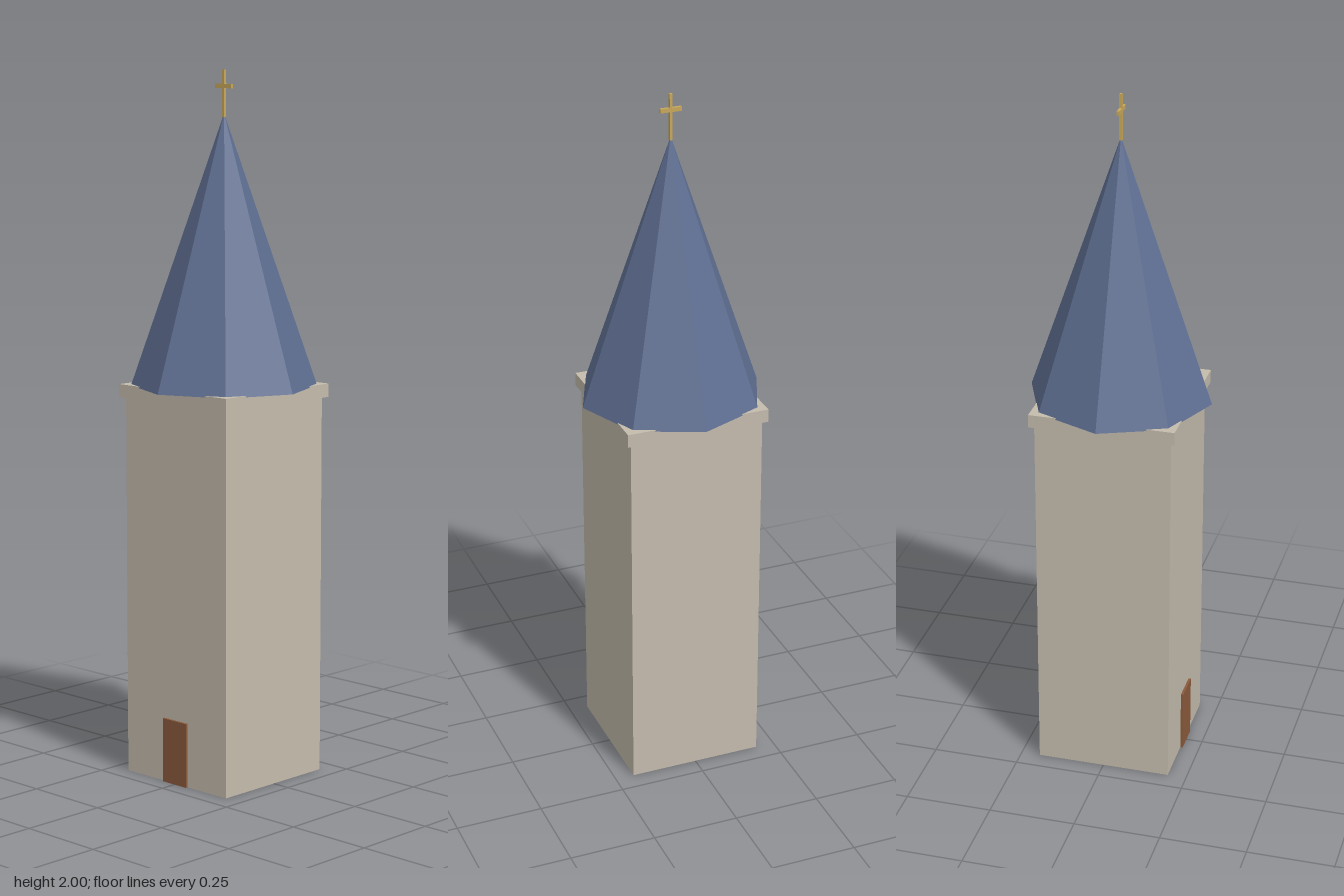
import * as THREE from 'three';

export function createModel() {
  const model = new THREE.Group();
  model.name = 'churchTower';

  const material = (color) => {
    const m = new THREE.MeshStandardMaterial({ flatShading: true });
    m.color.set(color);
    return m;
  };
  const stone = material(0xc4bbac);
  const slate = material(0x5f6f92);
  const wood = material(0x8b5a3c);
  const gold = material(0xc9a85a);

  const add = (name, geometry, mat, y, z = 0, parent = model) => {
    const mesh = new THREE.Mesh(geometry, mat);
    mesh.name = name;
    mesh.position.set(0, y, z);
    parent.add(mesh);
    return mesh;
  };
  const box = (w, h, d) => new THREE.BoxGeometry(w, h, d);

  // Square shaft with a projecting cornice
  add('shaft', box(0.39, 1.09, 0.39), stone, 0.545);
  add('cornice', box(0.416, 0.038, 0.416), stone, 1.105);

  // Door standing slightly proud of the front wall
  add('door', box(0.092, 0.185, 0.012), wood, 0.0925, 0.196);

  // Eight-sided spire, with corners on the x and z axes
  add('spire', new THREE.ConeGeometry(0.262, 0.76, 8), slate, 1.5);

  // Cross on the tip of the spire
  const cross = new THREE.Group();
  cross.name = 'cross';
  model.add(cross);
  add('crossPost', box(0.008, 0.13, 0.008), gold, 1.935, 0, cross);
  add('crossBar', box(0.061, 0.012, 0.008), gold, 1.955, 0, cross);

  return model;
}
